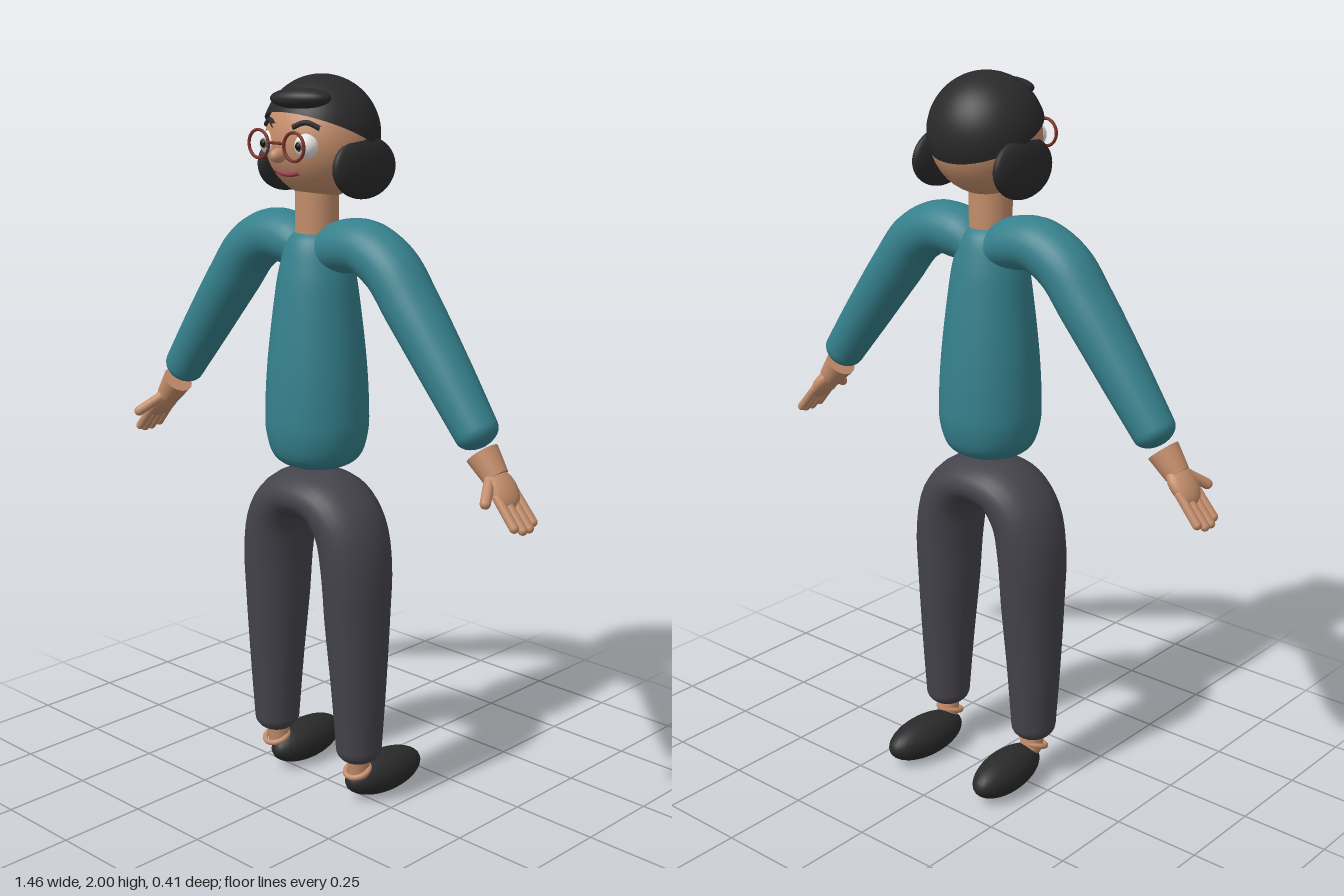
import * as THREE from 'three';

const mat = (name, color, side = THREE.FrontSide) => {
  const m = new THREE.MeshStandardMaterial({ color, side });
  m.name = name;
  return m;
};
const V = (x, y, z = 0) => new THREE.Vector3(x, y, z);

export function createModel() {
  const M = {
    sweater: mat('teal sweater', 0x35808c),
    trousers: mat('charcoal trousers', 0x45434b),
    hair: mat('black hair', 0x2a2a2b, THREE.DoubleSide),
    skin: mat('skin', 0xc38d6b),
    white: mat('eye white', 0xf0eeea),
    iris: mat('grey iris', 0x6b7470),
    pupil: mat('pupil black', 0x111111),
    frame: mat('red brown frame', 0x7a3026),
    lips: mat('lip red', 0x97404f),
  };
  const model = new THREE.Group();
  model.name = 'person';

  const add = (parent, name, geo, material, pos = [0, 0, 0], rot = [0, 0, 0], scale = [1, 1, 1]) => {
    const mesh = new THREE.Mesh(geo, material);
    mesh.name = name;
    mesh.position.set(...pos);
    mesh.rotation.set(...rot);
    mesh.scale.set(...scale);
    parent.add(mesh);
    return mesh;
  };
  const ball = (parent, name, material, pos, radii, rot) =>
    add(parent, name, new THREE.SphereGeometry(1, 32, 20), material, pos, rot, radii);
  // Rounded rod between two points
  const rod = (parent, name, material, a, b, r) => {
    const d = b.clone().sub(a);
    const mesh = add(parent, name, new THREE.CapsuleGeometry(r, d.length(), 6, 14), material);
    mesh.position.copy(a).add(b).multiplyScalar(0.5);
    mesh.quaternion.setFromUnitVectors(V(0, 1), d.normalize());
    return mesh;
  };

  // Sweep an ellipse along a path in the xy plane, with rounded ends.
  // Each station is [x, y, radius in the plane, radius in z].
  const sweep = (stations, capA, capB) => {
    const path = new THREE.CatmullRomCurve3(stations.map(s => V(s[0], s[1])));
    const size = new THREE.CatmullRomCurve3(stations.map(s => V(s[2], s[3])));
    const N = 48, K = 28, C = 7, pos = [], idx = [], rings = [];
    for (let i = C; i > 0; i--) rings.push([0, -capA, (i / C) * Math.PI / 2]);
    for (let i = 0; i <= N; i++) rings.push([i / N, 0, 0]);
    for (let i = 1; i <= C; i++) rings.push([1, capB, (i / C) * Math.PI / 2]);
    rings.forEach(([t, cap, phi], i) => {
      const tan = path.getTangent(t), s = size.getPoint(t);
      const c = path.getPoint(t).addScaledVector(tan, cap * Math.sin(phi));
      const n = V(0, 0, 1).cross(tan).normalize();
      const k = Math.max(Math.cos(phi), 0.001);
      for (let j = 0; j < K; j++) {
        const a = (j / K) * Math.PI * 2;
        const p = c.clone().addScaledVector(n, Math.cos(a) * s.x * k);
        pos.push(p.x, p.y, Math.sin(a) * s.y * k);
        if (i < rings.length - 1) {
          const q = i * K + j, r = i * K + (j + 1) % K;
          idx.push(q, r, q + K, r, r + K, q + K);
        }
      }
    });
    const g = new THREE.BufferGeometry();
    g.setAttribute('position', new THREE.Float32BufferAttribute(pos, 3));
    g.setIndex(idx);
    g.computeVertexNormals();
    return g;
  };

  // Torso and neck
  const profile = new THREE.SplineCurve([
    [0, 0.953], [0.06, 0.957], [0.115, 0.985], [0.138, 1.05], [0.14, 1.13], [0.133, 1.25],
    [0.116, 1.4], [0.1, 1.5], [0.07, 1.585], [0, 1.61],
  ].map(p => new THREE.Vector2(...p))).getPoints(48);
  profile.forEach(p => { p.x = Math.max(p.x, 0); });
  add(model, 'torso', new THREE.LatheGeometry(profile, 40), M.sweater, [0, 0, 0.038]);
  add(model, 'neck', new THREE.CylinderGeometry(0.058, 0.058, 0.16, 28), M.skin, [0, 1.635, 0.038]);

  // Trousers: a single arch running from ankle to ankle
  const leg = [
    [0.163, 0.17, 0.062, 0.066], [0.161, 0.35, 0.073, 0.08], [0.155, 0.55, 0.084, 0.097],
    [0.15, 0.7, 0.088, 0.107], [0.128, 0.8, 0.084, 0.112], [0.075, 0.863, 0.075, 0.116],
  ];
  const arch = [...leg.map(s => [-s[0], ...s.slice(1)]), [0, 0.88, 0.07, 0.118], ...leg.slice().reverse()];
  add(model, 'trousers', sweep(arch, 0.045, 0.045), M.trousers, [0, 0, 0.04]);

  for (const s of [1, -1]) {
    const side = s > 0 ? 'left' : 'right';

    // Sleeve
    const arm = [
      [0.04, 1.54, 0.058, 0.07], [0.09, 1.562, 0.07, 0.078], [0.17, 1.568, 0.072, 0.08],
      [0.255, 1.525, 0.073, 0.08], [0.33, 1.435, 0.072, 0.078], [0.45, 1.28, 0.066, 0.068],
      [0.55, 1.148, 0.058, 0.058],
    ].map(p => [p[0] * s, ...p.slice(1)]);
    add(model, side + 'Sleeve', sweep(arm, 0.04, 0.04), M.sweater, [0, 0, 0.03]);

    // Hand with four fingers and a thumb pointing forward
    const hand = new THREE.Group();
    hand.name = side + 'Hand';
    hand.position.set(0.575 * s, 1.1, 0.037);
    hand.rotation.z = 0.71 * s;
    model.add(hand);
    add(hand, 'wrist', new THREE.CylinderGeometry(0.044, 0.034, 0.07, 24), M.skin, [0, -0.035, 0]);
    ball(hand, 'palm', M.skin, [0, -0.1, 0], [0.026, 0.06, 0.047]);
    [-0.035, -0.012, 0.012, 0.035].forEach((z, i) =>
      rod(hand, 'finger', M.skin, V(0, -0.12, z), V(0, i % 3 ? -0.219 : -0.207, z * 1.05), 0.0125));
    rod(hand, 'thumb', M.skin, V(0, -0.07, 0.025), V(0, -0.125, 0.084), 0.014);

    // Ankle and shoe
    rod(model, side + 'Ankle', M.skin, V(0.163 * s, 0.15, 0.042), V(0.16 * s, 0.1, 0.035), 0.032);
    add(model, side + 'AnkleCuff', new THREE.TorusGeometry(0.034, 0.008, 10, 28), M.skin,
      [0.162 * s, 0.103, 0.045], [Math.PI / 2 + 0.35, 0, 0]);
    ball(model, side + 'Shoe', M.hair, [0.155 * s, 0.06, -0.07], [0.062, 0.06, 0.137], [0, -0.06 * s, 0]);
  }

  // Head and hair
  const head = new THREE.Group();
  head.name = 'head';
  model.add(head);
  const R = 0.148, HY = 1.83, HZ = 0.02;
  const onFace = (x, y, lift = 0) => V(x, y, HZ + Math.sqrt(R * R - x * x - (y - HY) ** 2) + lift);
  ball(head, 'face', M.skin, [0, HY, HZ], [R, R, R]);
  add(head, 'hairCap', new THREE.SphereGeometry(0.155, 40, 20, 0, Math.PI * 2, 0, Math.PI / 2),
    M.hair, [0, 1.845, HZ], [-0.43, 0, 0]);
  ball(head, 'fringe', M.hair, [0.038, 1.945, 0.135], [0.085, 0.027, 0.042], [0, 0.3, 0.03]);

  // Nose and mouth
  ball(head, 'nose', M.skin, [0, 1.802, 0.178], [0.018, 0.019, 0.025]);
  const strip = (name, pts, r, material) =>
    add(head, name, new THREE.TubeGeometry(new THREE.CatmullRomCurve3(pts), 20, r, 8), material);
  strip('mouth', [-0.043, -0.02, 0, 0.02, 0.043].map(x => onFace(x, 1.752 + 4 * x * x, 0.001)), 0.0065, M.lips);

  // Eyes, brows, glasses and side hair
  for (const s of [1, -1]) {
    const side = s > 0 ? 'left' : 'right', x = 0.064 * s;
    ball(head, side + 'Eye', M.white, [x, 1.828, 0.137], [0.033, 0.033, 0.033]);
    ball(head, side + 'Iris', M.iris, [x, 1.828, 0.157], [0.017, 0.017, 0.016]);
    ball(head, side + 'Pupil', M.pupil, [x, 1.828, 0.168], [0.01, 0.01, 0.008]);
    strip(side + 'Brow', [[0.034, 1.874], [0.065, 1.886], [0.098, 1.872]].map(p => onFace(p[0] * s, p[1], 0.002)), 0.007, M.hair);
    add(head, side + 'Rim', new THREE.TorusGeometry(0.036, 0.0042, 10, 36), M.frame, [x, 1.828, 0.185]);
    ball(head, side + 'SideHair', M.hair, [0.137 * s, 1.768, 0.003], [0.028, 0.08, 0.115], [0, 0, 0.04 * s]);
  }
  rod(head, 'glassesBridge', M.frame, V(-0.029, 1.834, 0.185), V(0.029, 1.834, 0.185), 0.004);

  return model;
}
